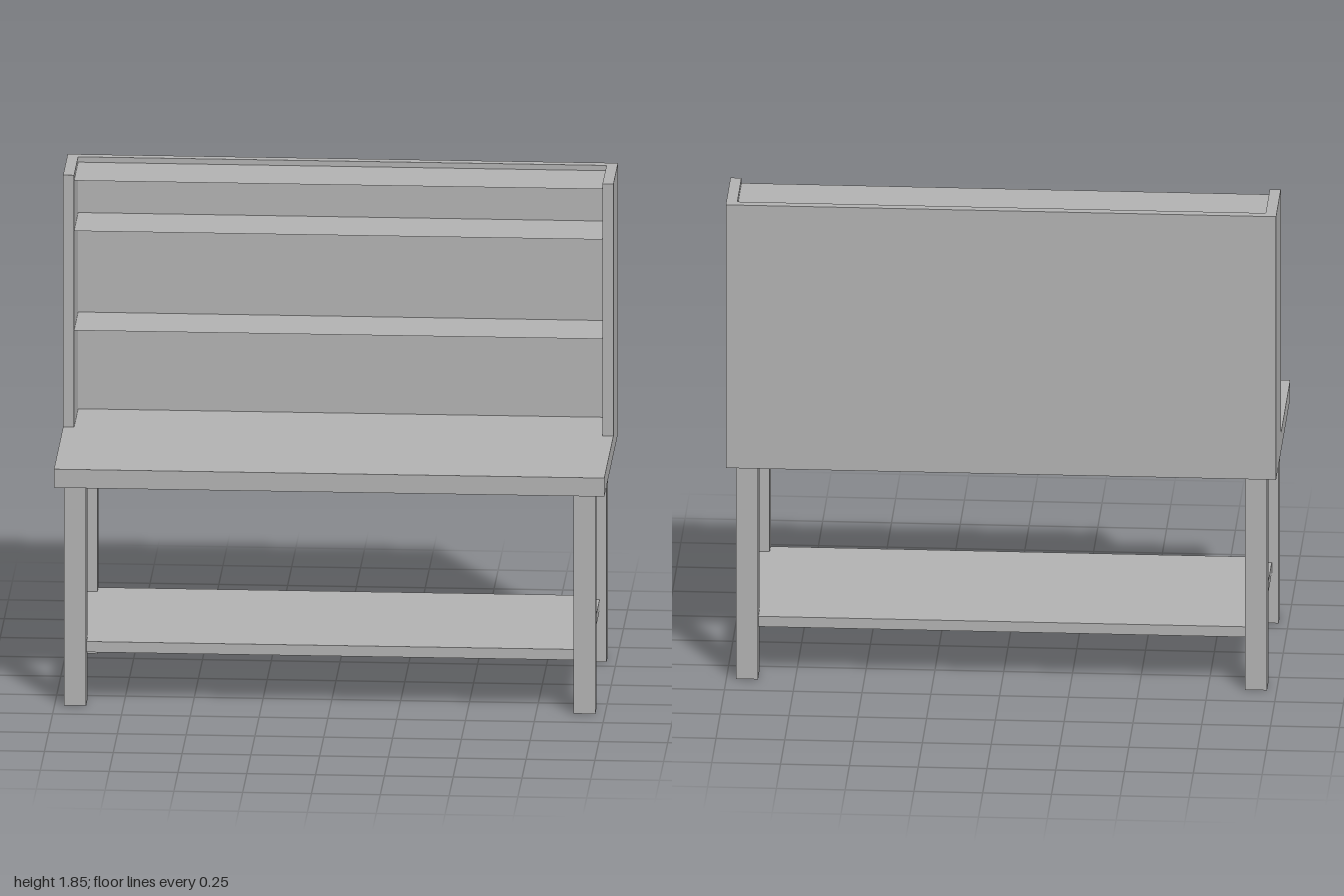
import * as THREE from 'three';

export function createModel() {
  const model = new THREE.Group();
  model.name = 'workbench';

  const grey = new THREE.MeshStandardMaterial({ color: 0xb2b2b2, side: THREE.DoubleSide });
  grey.name = 'plain grey';

  // Box given by its limits on each axis
  const box = (name, [x0, x1], [y0, y1], [z0, z1]) => {
    const mesh = new THREE.Mesh(new THREE.BoxGeometry(x1 - x0, y1 - y0, z1 - z0), grey);
    mesh.position.set((x0 + x1) / 2, (y0 + y1) / 2, (z0 + z1) / 2);
    mesh.name = name;
    model.add(mesh);
  };

  // Table
  box('tableTop', [-1, 1], [0.83, 0.9], [-0.42, 0.42]);
  box('lowerShelf', [-0.94, 0.94], [0.195, 0.235], [-0.36, 0.36]);
  for (const sx of [-1, 1]) {
    for (const sz of [-1, 1]) {
      const name = (sz > 0 ? 'front' : 'back') + (sx > 0 ? 'Left' : 'Right') + 'Leg';
      const x = sx * 0.925, z = sz * 0.345;
      box(name, [x - 0.04, x + 0.04], [0, 0.83], [z - 0.04, z + 0.04]);
    }
  }

  // Hutch: back panel between two side panels
  box('hutchBack', [-0.96, 0.96], [0.9, 1.85], [-0.42, -0.385]);
  box('hutchLeftSide', [0.96, 1], [0.9, 1.85], [-0.42, -0.14]);
  box('hutchRightSide', [-1, -0.96], [0.9, 1.85], [-0.42, -0.14]);

  // Sheet-thin hutch shelves
  [1.265, 1.64, 1.83].forEach((y, i) => {
    const shelf = new THREE.Mesh(new THREE.PlaneGeometry(1.92, 0.245), grey);
    shelf.rotation.x = -Math.PI / 2;
    shelf.position.set(0, y, -0.2625);
    shelf.name = 'hutchShelf' + (i + 1);
    model.add(shelf);
  });

  return model;
}
